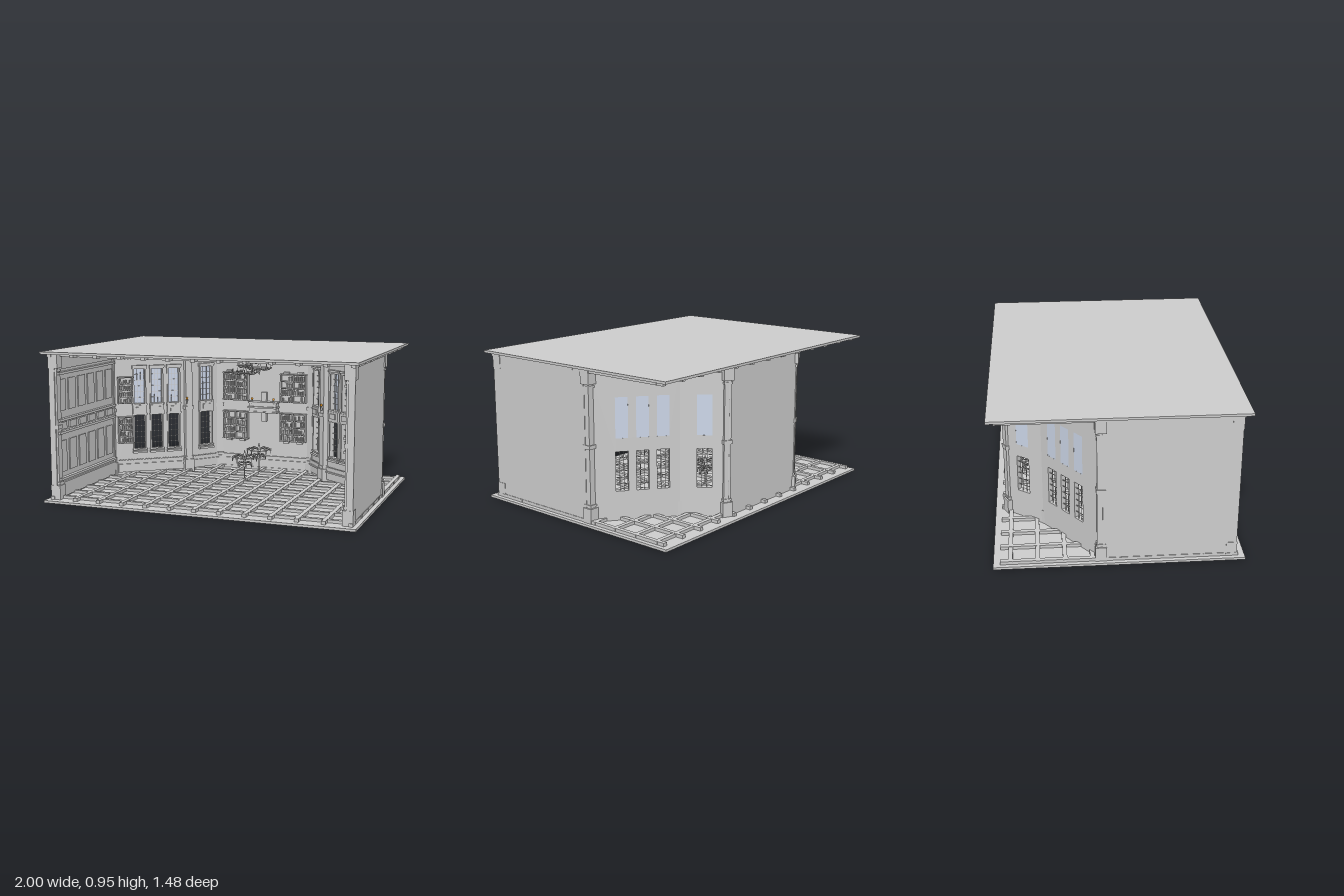
import * as THREE from 'three';

const MID = 0.475; // the room is mirrored about this height
const BOTTOM = 0.015, TOP = 0.935;

const stone = new THREE.MeshStandardMaterial({ color: 0xcccccc });
stone.name = 'stone grey';
const glass = new THREE.MeshStandardMaterial({ color: 0xcdd7e9, side: THREE.DoubleSide });
glass.name = 'pale blue glass';
const gold = new THREE.MeshStandardMaterial({ color: 0xe8961e });
gold.name = 'gold';

function add(g, name, geo, x, y, z, mat = stone) {
  const m = new THREE.Mesh(geo, mat);
  m.name = name;
  m.position.set(x, y, z);
  g.add(m);
  return m;
}
const box = (g, name, w, h, d, x, y, z, mat) => add(g, name, new THREE.BoxGeometry(w, h, d), x, y, z, mat);

function group(parent, name, x = 0, y = 0, z = 0, ry = 0) {
  const g = new THREE.Group();
  g.name = name;
  g.position.set(x, y, z);
  g.rotation.y = ry;
  parent.add(g);
  return g;
}

// calls fn for a height and its mirror image; sign is +1 below, -1 above
function mirrored(y, fn) {
  fn(y, 1);
  fn(2 * MID - y, -1);
}

let seed = 7;
const rand = () => (seed = (seed * 16807) % 2147483647) / 2147483647;

// slab with a grid of beams on its inner face
function slab(root, name, y, beamY) {
  const g = group(root, name);
  box(g, 'slab', 2, 0.015, 1.48, 0, y, 0);
  for (let i = 0; i < 13; i++) box(g, 'longBeam', 0.026, 0.02, 1.4, -0.96 + i * 0.16, beamY, 0);
  for (let i = 0; i < 9; i++) box(g, 'crossBeam', 1.95, 0.018, 0.026, 0, beamY, -0.64 + i * 0.16);
}

// pilaster with plinth, capital and a middle collar
function pilaster(root, x, z, ry, w) {
  const g = group(root, 'pilaster', x, 0, z, ry);
  box(g, 'shaft', w, TOP - BOTTOM, w, 0, MID, 0);
  mirrored(0.06, (y, s) => {
    box(g, 'plinth', w + 0.02, 0.09, w + 0.02, 0, y, 0);
    box(g, 'moulding', w + 0.01, 0.012, w + 0.01, 0, y + s * 0.06, 0);
  });
  box(g, 'collar', w + 0.012, 0.024, w + 0.012, 0, MID, 0);
}

// bookcase: frame, shelves and a row of books on each shelf
function bookcase(parent, u, y, w, h) {
  const g = group(parent, 'bookcase', u, y, 0);
  box(g, 'back', w, h, 0.008, 0, 0, 0.004);
  const bays = w > 0.15 ? 2 : 1, rows = 4, bw = w / bays, rh = h / rows;
  for (let i = 0; i <= bays; i++) box(g, 'upright', 0.008, h, 0.04, -w / 2 + i * bw, 0, 0.02);
  for (let r = 0; r <= rows; r++) box(g, 'shelf', w + (r % rows ? 0 : 0.012), 0.007, 0.042, 0, -h / 2 + r * rh, 0.021);
  for (let b = 0; b < bays; b++) for (let r = 0; r < rows; r++) {
    const n = Math.floor(bw / 0.013);
    for (let k = 1; k < n; k++) {
      if (rand() < 0.2) continue;
      const bh = rh * (0.5 + 0.3 * rand());
      box(g, 'book', 0.009, bh, 0.024, -w / 2 + b * bw + k * bw / n, -h / 2 + r * rh + bh / 2, 0.02);
    }
  }
}

// frame and glazing bars around one opening
function windowFrame(parent, u, y0, y1, w, depth) {
  const g = group(parent, 'windowFrame', u, (y0 + y1) / 2, depth);
  const h = y1 - y0;
  for (const s of [-1, 1]) {
    box(g, 'jamb', 0.01, h + 0.02, 0.014, s * (w / 2 + 0.005), 0, 0.005);
    box(g, 'rail', w + 0.03, 0.01, 0.018, 0, s * (h / 2 + 0.005), 0.007);
    box(g, 'bar', 0.003, h, 0.004, s * w / 6, 0, -depth / 2);
  }
  for (let i = 1; i < 6; i++) box(g, 'bar', w, 0.003, 0.004, 0, -h / 2 + i * h / 6, -depth / 2);
}

// horizontal trim shared by every back wall, z = 0 being its inner face
function trim(g, len, z) {
  mirrored(0.075, (y, s) => {
    box(g, 'skirting', len, 0.085, 0.012, 0, y, z + 0.006);
    box(g, 'ledge', len, 0.01, 0.022, 0, y + s * 0.012, z + 0.011);
  });
  box(g, 'goldStrip', len, 0.006, 0.006, 0, 0.862, z + 0.025, gold);
}

// pierced wall between two outer points, inward side facing local +z
function windowWall(root, name, a, b, s, windows, w) {
  const D = 0.025;
  const dx = a[0] - b[0], dz = a[1] - b[1], len = Math.hypot(dx, dz);
  const g = group(root, name, s * (a[0] + b[0]) / 2, 0, (a[1] + b[1]) / 2, -s * Math.atan2(dz, dx));
  const shape = new THREE.Shape();
  const rect = (p, x0, y0, x1, y1) => p.moveTo(x0, y0).lineTo(x1, y0).lineTo(x1, y1).lineTo(x0, y1).closePath();
  rect(shape, -len / 2, BOTTOM, len / 2, TOP);
  for (const c of windows) for (const [y0, y1] of [[0.195, 0.435], [0.515, 0.76]]) {
    const hole = new THREE.Path();
    rect(hole, s * c - w / 2, y0, s * c + w / 2, y1);
    shape.holes.push(hole);
    windowFrame(g, s * c, y0, y1, w, D);
  }
  add(g, 'wall', new THREE.ExtrudeGeometry(shape, { depth: D, bevelEnabled: false }), 0, 0, 0);
  for (const c of windows) {
    box(g, 'windowPane', w, 0.245, 0.003, s * c, 0.6375, 0.002, glass);
    // spandrel panel between the lower and upper openings
    box(g, 'spandrel', w + 0.025, 0.06, 0.02, s * c, MID, D + 0.01);
    box(g, 'spandrelPanel', w - 0.02, 0.035, 0.008, s * c, MID, D + 0.023);
    mirrored(0.172, y => box(g, 'sill', w + 0.03, 0.014, 0.025, s * c, y, D + 0.012));
  }
  trim(g, len - 0.05, D);
  // row of small dentils
  const n = Math.floor(len / 0.02);
  mirrored(0.117, y => {
    for (let i = 2; i < n - 1; i++) box(g, 'dentil', 0.008, 0.008, 0.012, -len / 2 + i * len / n, y, D + 0.006);
  });
  return g;
}

// side wall with ledges and rows of raised panels
function sideWall(root, s) {
  const g = group(root, 'sideWall');
  box(g, 'wall', 0.04, TOP - BOTTOM, 0.79, s * 0.95, MID, 0.295);
  mirrored(0.07, y => box(g, 'skirting', 0.02, 0.09, 0.76, s * 0.925, y, 0.295));
  for (const base of [0.14, 0.435]) mirrored(base, y => box(g, 'ledge', 0.03, 0.016, 0.76, s * 0.92, y, 0.295));
  for (let i = 0; i < 6; i++) {
    const z = -0.02 + i * 0.126;
    box(g, 'middlePanel', 0.014, 0.045, 0.09, s * 0.926, MID, z);
    mirrored(0.28, y => box(g, 'tallPanel', 0.008, 0.2, 0.09, s * 0.928, y, z));
  }
}

// chandelier on a stem, built upward from y = 0
function chandelier(root, z, flip) {
  const g = group(root, 'chandelier', 0, flip ? TOP : BOTTOM, z);
  if (flip) g.rotation.x = Math.PI;
  const pts = [[0, 0], [0.025, 0.002], [0.022, 0.012], [0.004, 0.025], [0.004, 0.1], [0.014, 0.12],
    [0.006, 0.14], [0.016, 0.165], [0.008, 0.19], [0.003, 0.215], [0, 0.22]];
  add(g, 'stem', new THREE.LatheGeometry(pts.map(p => new THREE.Vector2(...p)), 10), 0, 0, 0);
  for (const [r, y, n] of [[0.085, 0.17, 10], [0.05, 0.125, 6]]) {
    add(g, 'ring', new THREE.TorusGeometry(r * 0.8, 0.003, 5, 20), 0, y, 0).rotation.x = Math.PI / 2;
    for (let i = 0; i < n; i++) {
      const arm = group(g, 'arm', 0, y, 0, i * Math.PI * 2 / n);
      const curve = new THREE.QuadraticBezierCurve3(new THREE.Vector3(0, -0.005, 0),
        new THREE.Vector3(r * 0.6, 0.03, 0), new THREE.Vector3(r, 0, 0));
      add(arm, 'branch', new THREE.TubeGeometry(curve, 6, 0.0025, 5), 0, 0, 0);
      add(arm, 'candleCup', new THREE.CylinderGeometry(0.008, 0.008, 0.004, 8), r, 0, 0);
      add(arm, 'candle', new THREE.CylinderGeometry(0.003, 0.003, 0.022, 6), r, -0.012, 0);
    }
  }
}

function lamp(root, x, y, z) {
  const g = group(root, 'lamp', x, y, z);
  add(g, 'bracket', new THREE.CylinderGeometry(0.005, 0.008, 0.03, 8), 0, -0.02, 0);
  add(g, 'flame', new THREE.SphereGeometry(0.009, 8, 6), 0, 0, 0, gold);
}

export function createModel() {
  const root = new THREE.Group();
  root.name = 'panelledRoom';

  slab(root, 'floor', 0.0075, 0.025);
  slab(root, 'ceiling', 0.9425, 0.925);

  for (const s of [-1, 1]) {
    sideWall(root, s);
    const wide = windowWall(root, 'wideWindowWall', [0.945, -0.12], [0.525, -0.44], s, [0.082, -0.041, -0.164], 0.075);
    mirrored(0.335, y => {
      const shelf = group(wide, 'cornerShelf', 0, 0, 0.025);
      bookcase(shelf, s * 0.185, y, 0.095, 0.18);
    });
    windowWall(root, 'narrowWindowWall', [0.525, -0.44], [0.35, -0.67], s, [0], 0.09);
    pilaster(root, s * 0.94, 0.66, 0, 0.045);
    pilaster(root, s * 0.945, -0.11, 0, 0.045);
    pilaster(root, s * 0.503, -0.415, -s * 0.78, 0.05);
    pilaster(root, s * 0.348, -0.645, -s * 0.45, 0.045);
    lamp(root, s * 0.49, 0.545, -0.37);
    lamp(root, s * 0.08, 0.535, -0.59);
  }

  // central back wall with bookcases
  const back = group(root, 'backWall', 0, 0, -0.645);
  box(back, 'wall', 0.7, TOP - BOTTOM, 0.025, 0, MID, -0.0125);
  trim(back, 0.64, 0);
  for (const s of [-1, 1]) mirrored(0.335, y => {
    bookcase(back, s * 0.215, y, 0.18, 0.195);
    for (const k of [-1, 1]) mirrored(0.226, v => box(back, 'bracket', 0.04, 0.012, 0.03, s * 0.215 + k * 0.05, v, 0.015));
  });

  // mantel in the middle of the back wall
  const mantel = group(back, 'mantel', 0, MID, 0);
  box(mantel, 'breast', 0.2, 0.07, 0.06, 0, 0, 0.03);
  box(mantel, 'shelf', 0.215, 0.012, 0.075, 0, 0, 0.0375);
  for (const s of [-1, 1]) {
    box(mantel, 'edge', 0.215, 0.01, 0.068, 0, s * 0.034, 0.034);
    box(mantel, 'post', 0.036, 0.07, 0.03, 0, s * 0.07, 0.015);
  }

  for (const z of [-0.21, -0.51]) for (const flip of [false, true]) chandelier(root, z, flip);
  return root;
}
